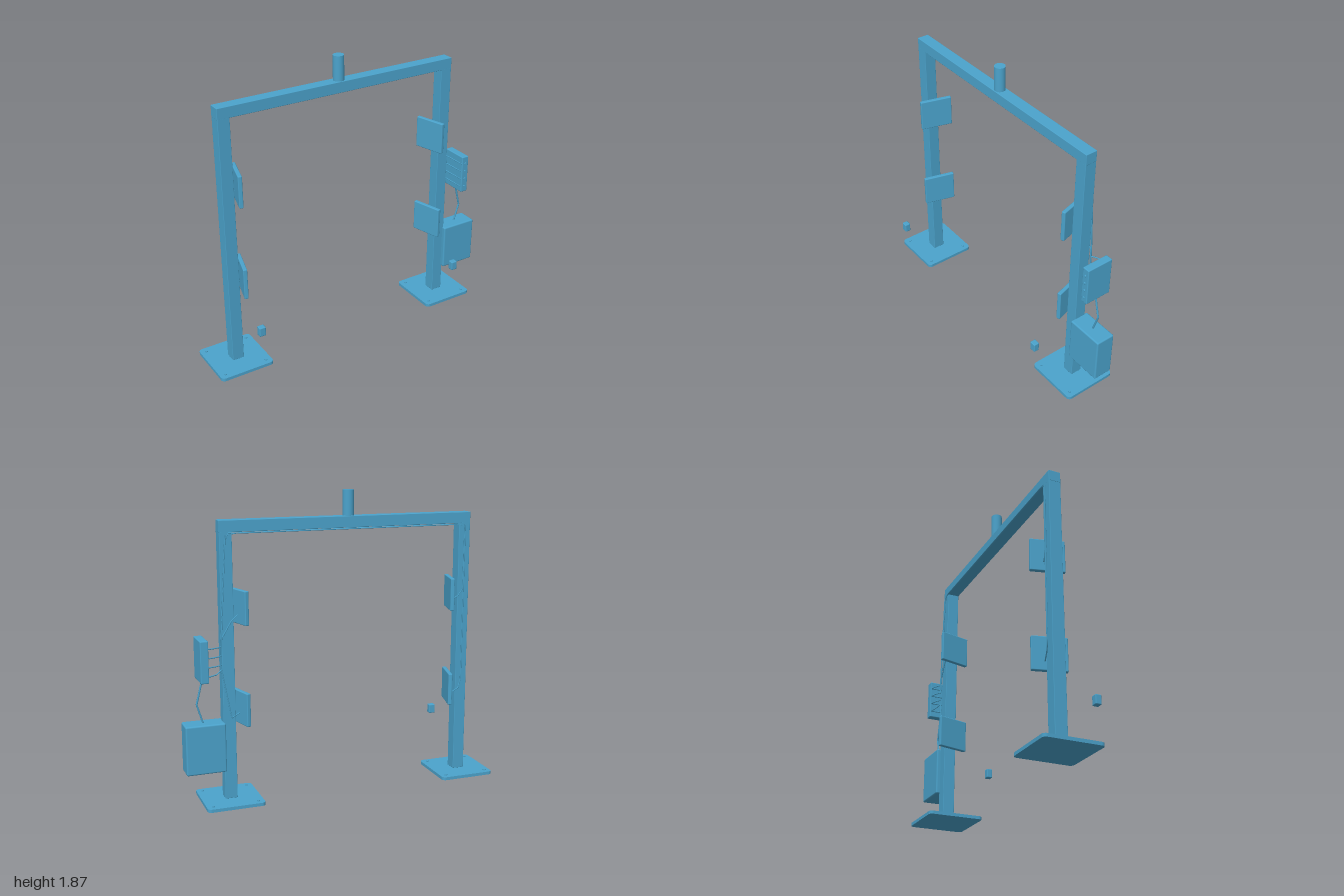
import * as THREE from 'three';
import { RoundedBoxGeometry } from 'three/addons/geometries/RoundedBoxGeometry.js';

const AXIS = -0.05;   // centre plane of the gate
const DEPTH = -0.058; // z of the frame
const HALF = 0.771;   // post distance from the centre plane

export function createModel() {
  const model = new THREE.Group();
  model.name = 'sensorGate';
  const blue = new THREE.MeshStandardMaterial({ color: 0x4ba3cc });
  blue.name = 'blue';

  const add = (name, geometry, x, y, z) => {
    const mesh = new THREE.Mesh(geometry, blue);
    mesh.name = name;
    mesh.position.set(x, y, z);
    model.add(mesh);
    return mesh;
  };
  const box = (name, w, h, d, x, y, z, r = 0.005) =>
    add(name, new RoundedBoxGeometry(w, h, d, 2, r), x, y, z);

  // Cable made of straight runs between points
  const cable = (name, points, radius = 0.004) => {
    const path = new THREE.CurvePath();
    const p = points.map((q) => new THREE.Vector3(...q));
    for (let i = 1; i < p.length; i++) path.add(new THREE.LineCurve3(p[i - 1], p[i]));
    return add(name, new THREE.TubeGeometry(path, 48, radius, 6), 0, 0, 0);
  };

  // Foot plate with rounded corners
  const s = 0.178, r = 0.025;
  const footShape = new THREE.Shape();
  [[1, 1, 0], [-1, 1, 1], [-1, -1, 2], [1, -1, 3]].forEach(([sx, sy, k]) =>
    footShape.absarc(sx * (s - r), sy * (s - r), r, (k * Math.PI) / 2, ((k + 1) * Math.PI) / 2));
  const footGeometry = new THREE.ExtrudeGeometry(footShape, { depth: 0.02, bevelEnabled: false, curveSegments: 6 });
  footGeometry.rotateX(-Math.PI / 2);
  const boltGeometry = new THREE.CylinderGeometry(0.009, 0.009, 0.008, 12);

  // Two mirrored posts with feet, bolts, angled panels and floor sensors
  for (const side of [-1, 1]) {
    const label = side < 0 ? 'right' : 'left';
    const x = AXIS + side * HALF;
    add(label + 'Foot', footGeometry, x, 0, DEPTH);
    for (const bx of [-0.14, 0.14])
      for (const bz of [-0.14, 0.14]) add(label + 'Bolt', boltGeometry, x + bx, 0.023, DEPTH + bz);
    box(label + 'Post', 0.076, 1.625, 0.076, x, 0.8325, DEPTH, 0.003);
    for (const y of [0.582, 1.198]) {
      const panel = box(label + 'Panel', 0.026, 0.206, 0.208, AXIS + side * 0.694, y, DEPTH, 0.006);
      panel.rotation.y = side * THREE.MathUtils.degToRad(15);
    }
    box(label + 'Sensor', 0.042, 0.06, 0.038, AXIS + side * 0.717, 0.35, 0.215, 0.006);
  }

  // Cross beam and the mast stub on top
  box('beam', 1.62, 0.07, 0.076, AXIS, 1.675, DEPTH, 0.003);
  add('mast', new THREE.CylinderGeometry(0.034, 0.034, 0.16, 32), AXIS, 1.785, DEPTH);

  // Power box and control box beside the left post
  box('powerBox', 0.245, 0.305, 0.128, 0.8725, 0.3525, -0.056, 0.01);
  box('controlBox', 0.05, 0.255, 0.178, 0.875, 0.892, -0.055, 0.006);
  cable('powerCable', [[0.875, 0.77, DEPTH], [0.912, 0.62, DEPTH], [0.875, 0.5, DEPTH]], 0.006);

  // Sockets on the control box, each with a lead crossing to the post
  const portHeights = [0.805, 0.86, 0.915, 0.97];
  const back = -0.102;
  portHeights.forEach((y, i) => {
    const socket = add('socket', new THREE.CylinderGeometry(0.008, 0.008, 0.01, 12), 0.875, y, 0.036);
    socket.rotation.x = Math.PI / 2;
    cable('lead', [
      [0.852, y, 0.03], [0.847, y, -0.138], [0.8, i ? y : y + 0.005, -0.122], [0.765, i ? y : 0.83, back],
    ]);
  });

  // Cables up to the beam, along it and down to the far panels
  [1.2, 0.582].forEach((y, i) => {
    const z = back - i * 0.004;
    cable('longCable', [
      [0.765, portHeights[3 - i], z], [0.763, 1.02, z], [0.725, 1.635, z], [AXIS, 1.637 - i * 0.002, z],
      [-0.82, 1.635, z], [-0.815, y, z], [-0.745, y - 0.05, z + 0.02],
    ]);
  });

  // Short cables to the near panels
  cable('upperPanelCable', [[0.765, 0.915, back], [0.76, 1.02, back], [0.7, 1.12, back], [0.655, 1.15, -0.08]]);
  cable('lowerPanelCable', [[0.765, 0.83, back], [0.71, 0.53, back], [0.655, 0.55, -0.08]]);

  return model;
}
